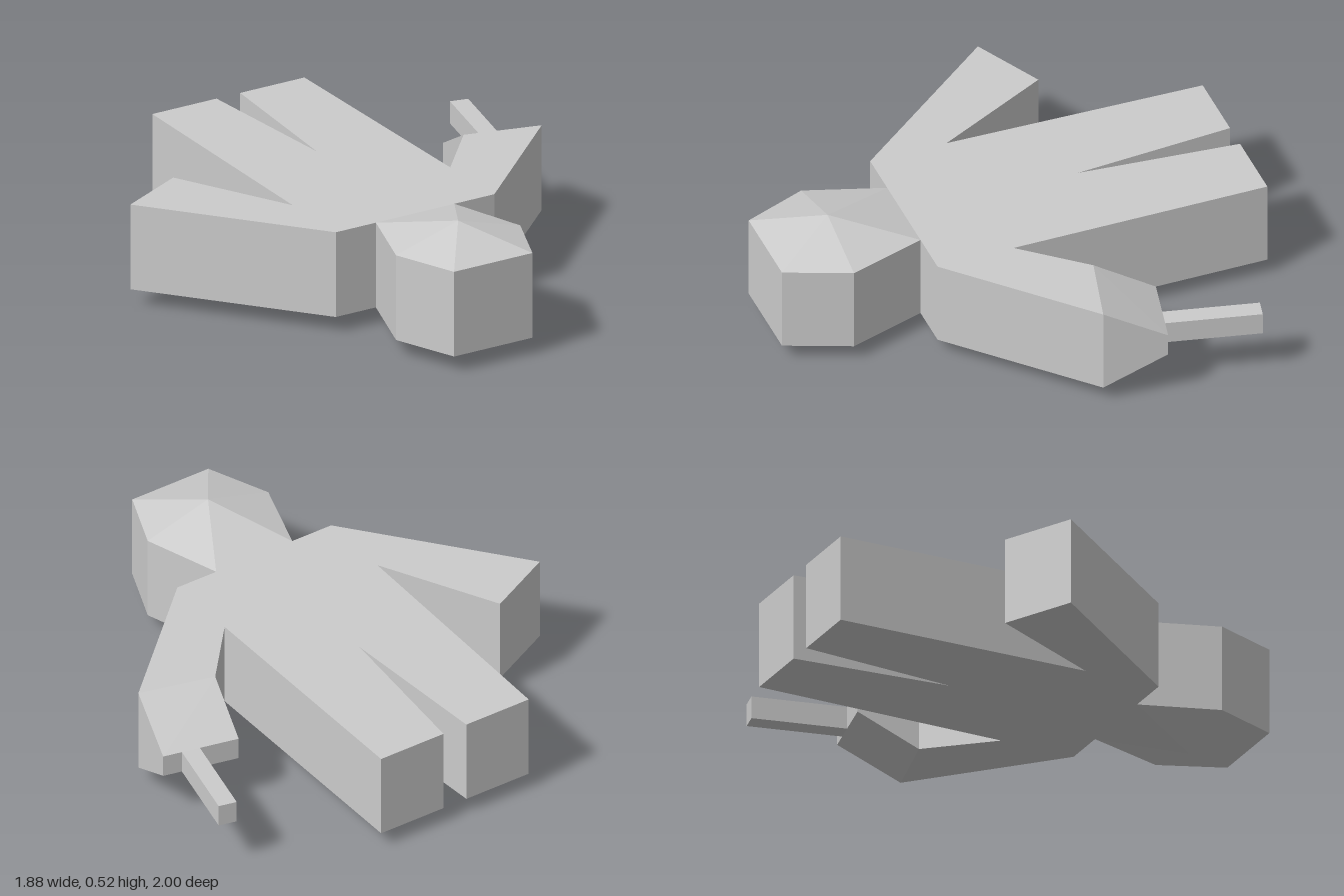
import * as THREE from 'three';
import { ConvexGeometry } from 'three/addons/geometries/ConvexGeometry.js';

const LOW = 0.075, HIGH = 0.44;            // underside and top of the slab body
const GRIP_LOW = 0.21, GRIP_HIGH = 0.305;  // thin end of the hand and the rod

const material = new THREE.MeshStandardMaterial({ color: 0xcccccc, flatShading: true });

function part(name, geometry) {
  const mesh = new THREE.Mesh(geometry, material);
  mesh.name = name;
  return mesh;
}

// Upright slab from a plan outline of [x, z] points
function slab(outline, low, high) {
  const shape = new THREE.Shape(outline.map(([x, z]) => new THREE.Vector2(x, -z)));
  const geometry = new THREE.ExtrudeGeometry(shape, { depth: high - low, bevelEnabled: false });
  return geometry.rotateX(-Math.PI / 2).translate(0, low, 0);
}

// Plan points repeated at two heights
function corners(outline, low, high) {
  return outline.flatMap(([x, z]) => [new THREE.Vector3(x, low, z), new THREE.Vector3(x, high, z)]);
}

export function createModel() {
  const group = new THREE.Group();
  group.name = 'figure';

  // Torso, arms and legs share one flat outline
  group.add(part('body', slab([
    [-0.395, 0.41], [0.345, 0.41],                 // shoulders
    [0.875, -0.09], [0.56, -0.17], [0.34, 0.085],  // left arm
    [0.33, -1], [0.03, -1],                        // left leg
    [-0.025, -0.33],                               // crotch
    [-0.08, -1], [-0.38, -1],                      // right leg
    [-0.395, 0.085], [-0.65, -0.405], [-0.94, -0.26], // right arm
  ], LOW, HIGH)));

  // Hexagonal head, drawn up to a shallow point above and below
  const headX = -0.025, headZ = 0.735;
  const headOutline = [[0.183, 0.41], [0.29, headZ], [0.183, 1]]
    .flatMap(([w, z]) => [[headX - w, z], [headX + w, z]]);
  group.add(part('head', new ConvexGeometry([
    ...corners(headOutline, LOW, HIGH),
    new THREE.Vector3(headX, 0.525, headZ),
    new THREE.Vector3(headX, 0.005, headZ),
  ])));

  // Hand tapering in height away from the wrist
  group.add(part('leftHand', new ConvexGeometry([
    ...corners([[0.56, -0.17], [0.875, -0.09]], LOW, HIGH),
    ...corners([[0.615, -0.415], [0.93, -0.345]], GRIP_LOW, GRIP_HIGH),
  ])));

  // Rod held out from the hand
  group.add(part('rod', slab(
    [[0.777, -0.379], [0.852, -0.362], [0.937, -0.745], [0.862, -0.762]], GRIP_LOW, GRIP_HIGH)));

  return group;
}
